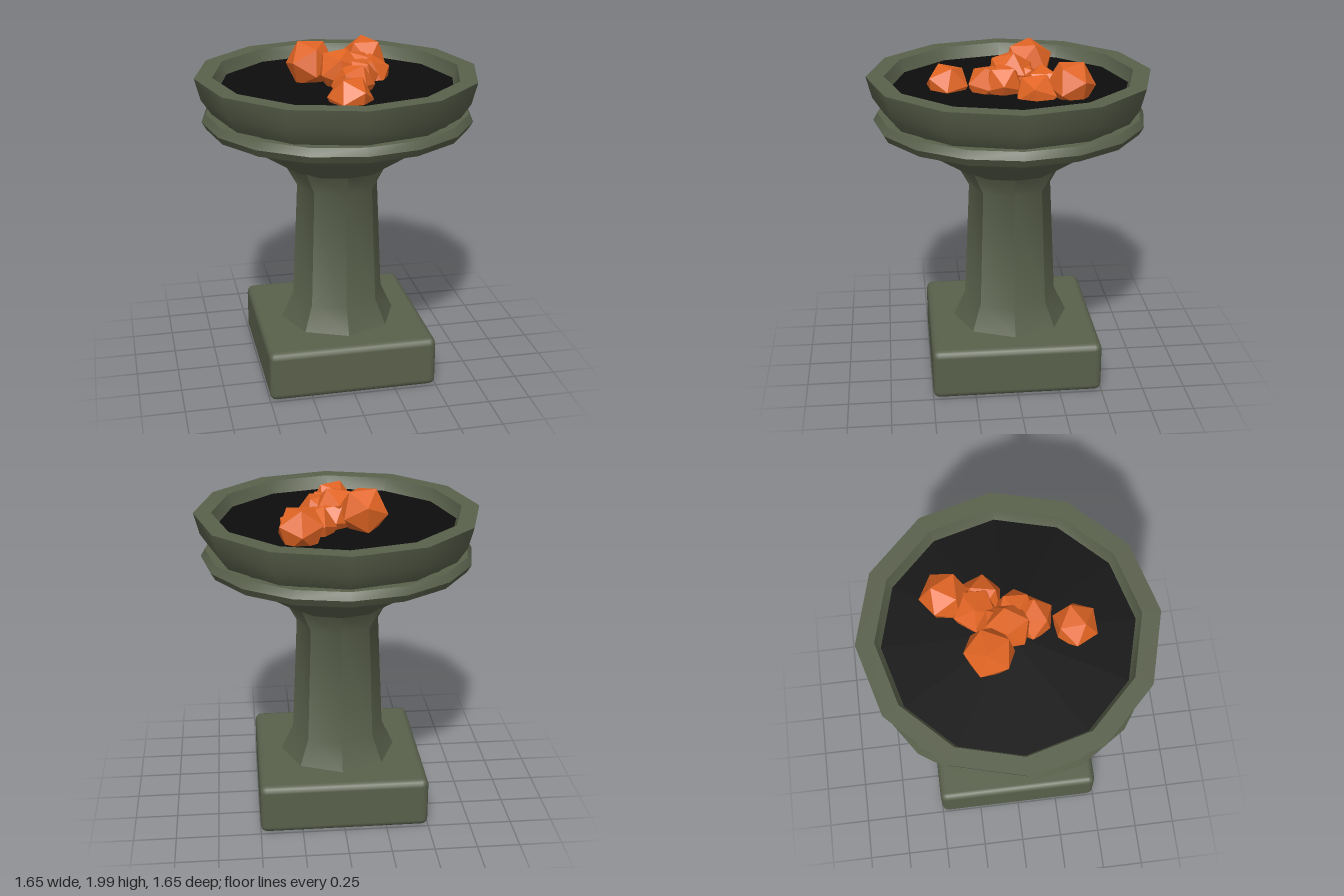
import * as THREE from 'three';
import { toCreasedNormals } from 'three/addons/utils/BufferGeometryUtils.js';
import { RoundedBoxGeometry } from 'three/addons/geometries/RoundedBoxGeometry.js';

const CREASE = THREE.MathUtils.degToRad(38);

export function createModel() {
  const model = new THREE.Group();
  model.name = 'brazier';

  const stone = new THREE.MeshStandardMaterial({ color: 0x59604b });
  stone.name = 'mossy stone';
  const ash = new THREE.MeshStandardMaterial({ color: 0x0d0d0d });
  ash.name = 'black ash';
  const ember = new THREE.MeshStandardMaterial({ color: 0xe06423 });
  ember.name = 'glowing ember';

  function add(name, geometry, material, parent = model) {
    const mesh = new THREE.Mesh(geometry, material);
    mesh.name = name;
    parent.add(mesh);
    return mesh;
  }

  // Faceted turned part from [radius, height] pairs
  function turned(profile, sides) {
    const points = profile.map(([r, y]) => new THREE.Vector2(r, y));
    return toCreasedNormals(new THREE.LatheGeometry(points, sides), CREASE);
  }

  // Square plinth with softened edges
  add('plinth', new RoundedBoxGeometry(1, 0.305, 1, 2, 0.04), stone).position.y = 0.1525;

  // Octagonal column, flared at both ends
  add('column', turned([[0.35, 0.3], [0.275, 0.46], [0.243, 1.16], [0.32, 1.3]], 8), stone);

  // Twelve-sided bowl: outside, flat rim, then inner wall
  add('bowl', turned([
    [0.15, 1.22], [0.31, 1.288], [0.645, 1.505], [0.73, 1.62], [0.79, 1.71], [0.823, 1.835],
    [0.72, 1.835], [0.685, 1.74], [0.6, 1.68],
  ], 12), stone);

  // Loose hexagonal-section band around the bowl
  const band = new THREE.TorusGeometry(0.74, 0.05, 6, 16).rotateX(Math.PI / 2);
  add('band', toCreasedNormals(band, CREASE), stone).position.y = 1.578;

  // Bed of ash inside the bowl
  add('ashBed', new THREE.CylinderGeometry(0.692, 0.68, 0.02, 12), ash).position.y = 1.75;

  // Heap of coals: x, y, z, radius
  const coals = new THREE.Group();
  coals.name = 'coals';
  model.add(coals);
  [
    [0.23, 1.825, -0.32, 0.143],
    [-0.135, 1.86, -0.12, 0.148],
    [0.0, 1.775, 0.36, 0.132],
    [0.15, 1.785, -0.17, 0.135],
    [0.22, 1.765, -0.13, 0.132],
    [0.01, 1.84, 0.0, 0.135],
    [0.065, 1.785, 0.13, 0.128],
    [0.11, 1.805, 0.05, 0.122],
    [0.03, 1.80, -0.06, 0.115],
  ].forEach(([x, y, z, r], i) => {
    const coal = add('coal' + (i + 1), new THREE.IcosahedronGeometry(r, 0), ember, coals);
    coal.position.set(x, y, z);
    coal.rotation.set(0.5 + i * 1.3, i * 2.1, i * 0.7);
  });

  return model;
}
